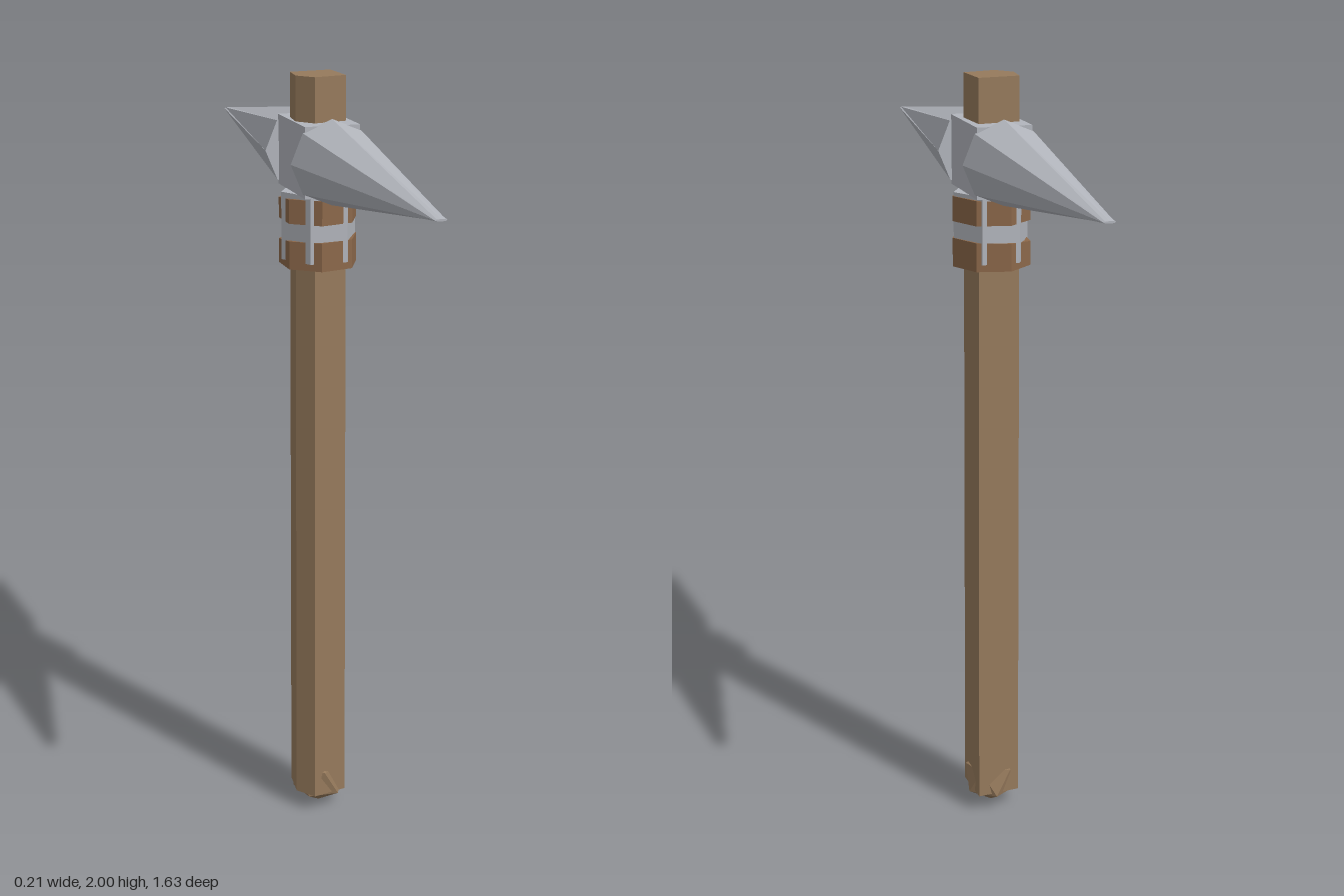
import * as THREE from 'three';

const wood = new THREE.MeshStandardMaterial({ color: 0x967a5c, flatShading: true });
const leather = new THREE.MeshStandardMaterial({ color: 0x8c684a, flatShading: true });
const metal = new THREE.MeshStandardMaterial({ color: 0xb2b5bc, flatShading: true });

// Applies a rule to every vertex of a geometry
function reshape(geometry, rule) {
  const p = geometry.attributes.position;
  const v = new THREE.Vector3();
  for (let i = 0; i < p.count; i++) {
    rule(v.fromBufferAttribute(p, i));
    p.setXYZ(i, v.x, v.y, v.z);
  }
  geometry.computeVertexNormals();
  return geometry;
}

export function createModel() {
  const group = new THREE.Group();
  const add = (name, geometry, material, y = 0) => {
    const mesh = new THREE.Mesh(geometry, material);
    mesh.name = name;
    mesh.position.y = y;
    group.add(mesh);
    return mesh;
  };

  // Irregular five-sided shaft, slightly thicker at the foot
  const outline = [[-0.065, -0.02], [-0.03, -0.065], [0.055, -0.047], [0.05, 0.06], [-0.057, 0.05]];
  const shaft = new THREE.ExtrudeGeometry(
    new THREE.Shape(outline.map(([x, y]) => new THREE.Vector2(x, y))),
    { depth: 1.95, bevelEnabled: false });
  shaft.rotateX(-Math.PI / 2);
  reshape(shaft, v => {
    const s = 1 + 0.08 * (1 - v.y / 1.95);
    v.x *= s;
    v.z *= s;
  });
  add('handle', shaft, wood, 0.05);

  // Rough pommel: a 20-sided ball standing on one corner
  const pommel = new THREE.IcosahedronGeometry(0.078, 0);
  pommel.rotateZ(Math.atan(2 / (1 + Math.sqrt(5))));
  pommel.rotateY(0.25);
  reshape(pommel, v => {
    v.y *= 1 + 0.12 * Math.sin(60 * v.x + 25 * v.z) * (v.y > 0 ? 1 : 0);
  });
  add('pommel', pommel, wood, 0.078);

  // Metal socket around the shaft below the head
  const sleeve = new THREE.CylinderGeometry(0.097, 0.097, 0.17, 6);
  sleeve.rotateY(Math.PI / 6);
  add('sleeve', sleeve, metal, 1.63);

  // Leather bindings, cut at an uneven angle
  const binding = (name, y, height, turn) => {
    const g = new THREE.CylinderGeometry(0.1, 0.1, height, 7);
    g.rotateY(turn);
    reshape(g, v => {
      if (v.y > 0) v.y += 0.008 * Math.sin(80 * v.x + 40 * v.z);
    });
    add(name, g, leather, y);
  };
  binding('lowerBinding', 1.56, 0.065, Math.PI / 2);
  binding('upperBinding', 1.67, 0.055, Math.PI / 2);

  // Head block
  add('headBlock', new THREE.BoxGeometry(0.14, 0.175, 0.22), metal, 1.802);

  // Eight-sided spikes ending in a narrow flat edge
  for (const side of [1, -1]) {
    const spike = new THREE.CylinderGeometry(0.014, 0.105, 0.71, 8);
    spike.rotateX(Math.PI / 2);
    reshape(spike, v => {
      if (v.z > 0) v.y *= 0.2;
      v.z += 0.46;
    });
    const mesh = add(side > 0 ? 'frontSpike' : 'backSpike', spike, metal, 1.8);
    if (side < 0) mesh.rotation.y = Math.PI;
  }

  return group;
}
